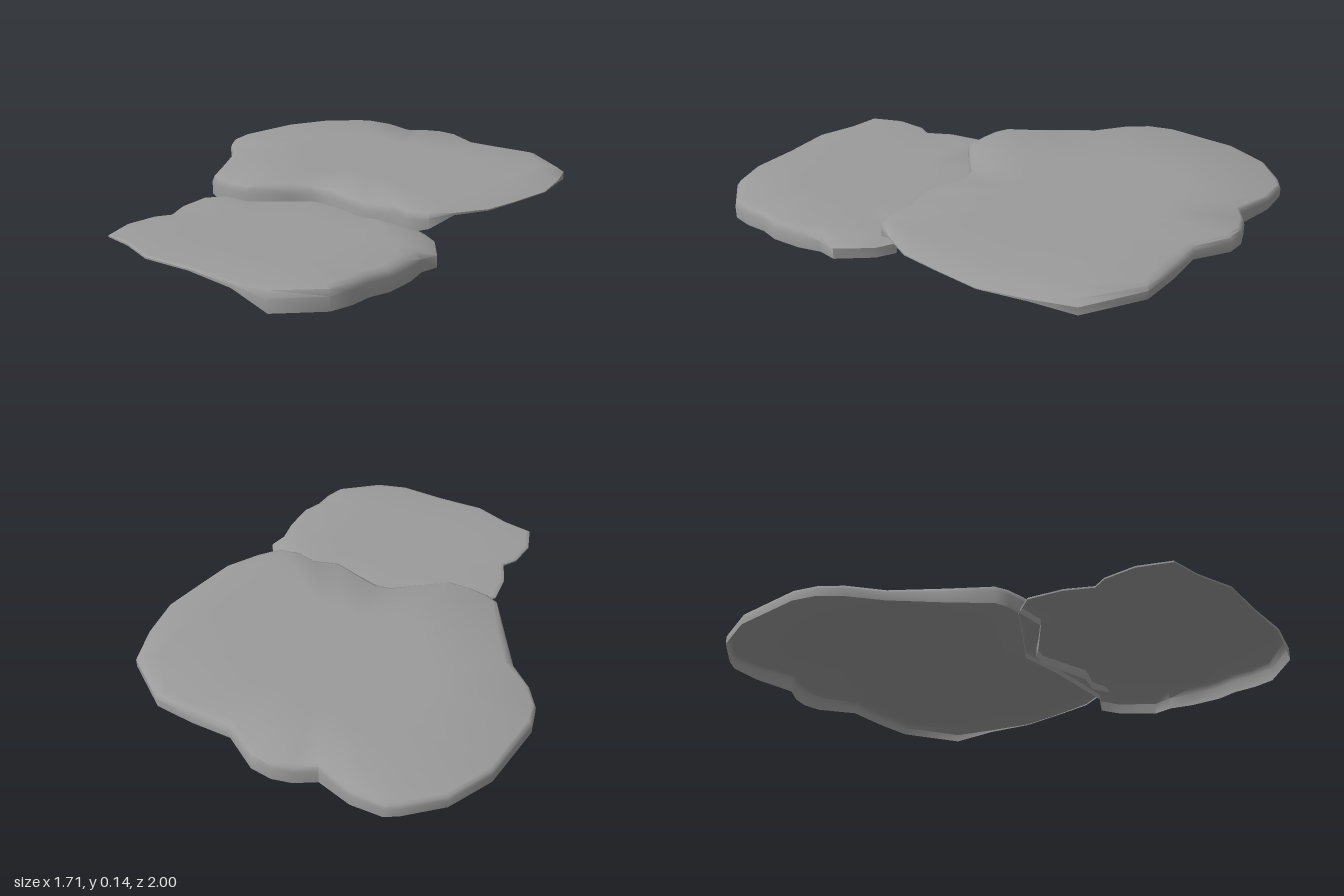
import * as THREE from 'three';
import { toCreasedNormals } from 'three/addons/utils/BufferGeometryUtils.js';

// Each outline point: x, z, height of the lower edge, width of the top bevel
const LARGE = [
  [0.05, -1, 0.09, 0.01], [-0.12, -0.94, 0.09, 0.01], [-0.33, -0.77, 0.09, 0.01],
  [-0.38, -0.69, 0.09, 0.01], [-0.4, -0.6, 0.088, 0.01], [-0.4, -0.46, 0.085, 0.02],
  [-0.45, -0.27, 0.07, 0.02], [-0.495, -0.1, 0.06, 0.015], [-0.48, -0.05, 0.055, 0.015],
  [-0.44, 0.01, 0.05, 0.015], [-0.38, 0.08, 0.05, 0.02], [-0.23, 0.105, 0.042, 0.02],
  [-0.15, 0.115, 0.042, 0.02], [-0.1, 0.15, 0.042, 0.02], [-0.05, 0.24, 0.04, 0.02],
  [0, 0.34, 0.036, 0.02], [0.09, 0.39, 0.04, 0.02], [0.13, 0.46, 0.05, 0.02],
  [0.2, 0.505, 0.075, 0.02], [0.29, 0.49, 0.115, 0.05], [0.42, 0.455, 0.115, 0.08],
  [0.54, 0.37, 0.115, 0.1], [0.68, 0.265, 0.115, 0.1], [0.78, 0.12, 0.11, 0.08],
  [0.85, -0.02, 0.082, 0.05], [0.815, -0.26, 0.085, 0.02], [0.72, -0.38, 0.085, 0.03],
  [0.615, -0.49, 0.085, 0.02], [0.58, -0.64, 0.075, 0.015], [0.53, -0.7, 0.07, 0.01],
  [0.47, -0.735, 0.067, 0.01], [0.39, -0.755, 0.066, 0.01], [0.33, -0.89, 0.08, 0.01],
  [0.25, -0.975, 0.085, 0.01], [0.2, -0.99, 0.088, 0.01],
];
const SMALL = [
  [-0.43, -0.01, 0.06, 0.01], [-0.53, 0, 0.065, 0.01], [-0.61, 0.1, 0.065, 0.01],
  [-0.65, 0.2, 0.065, 0.01], [-0.71, 0.215, 0.065, 0.01], [-0.8, 0.29, 0.065, 0.01],
  [-0.855, 0.4, 0.065, 0.01], [-0.79, 0.5, 0.065, 0.01], [-0.73, 0.64, 0.065, 0.01],
  [-0.6, 0.77, 0.065, 0.01], [-0.48, 0.91, 0.055, 0.01], [-0.38, 0.99, 0, 0.03],
  [-0.2, 1, 0, 0.02], [-0.13, 0.96, 0, 0.02], [-0.07, 0.905, 0, 0.02],
  [0, 0.87, 0, 0.02], [0.08, 0.79, 0, 0.03], [0.13, 0.715, 0, 0.05],
  [0.19, 0.675, 0, 0.08], [0.215, 0.53, 0, 0.1], [0.2, 0.455, 0, 0.09],
  [0.17, 0.44, 0.035, 0.06], [0.09, 0.35, 0.037, 0.03], [-0.02, 0.23, 0.04, 0.02],
  [-0.13, 0.08, 0.045, 0.02], [-0.27, 0.04, 0.05, 0.02],
];

// Thin open shell: rings run from the top centre, over the bevel, down the rim
function slab(name, outline, cx, cz, top) {
  const n = outline.length;
  const radius = (p) => Math.hypot(p[0] - cx, p[1] - cz);
  const lip = (p) => (top - p[2]) * 0.35 + p[3] * 0.1;
  const ring = (inset, y) => outline.map((p) => {
    const k = 1 - inset(p) / radius(p);
    return [cx + (p[0] - cx) * k, y(p), cz + (p[1] - cz) * k];
  });
  const rings = [
    ring(radius, () => top),
    ring((p) => radius(p) * 0.5, () => top),
    ring((p) => p[3] * 1.6, () => top),
    ring((p) => p[3] * 0.5, (p) => top - lip(p) * 0.3),
    ring(() => 0, (p) => top - lip(p)),
    ring(() => 0, (p) => p[2]),
  ];
  const index = [];
  for (let k = 0; k < rings.length - 1; k++) {
    for (let i = 0; i < n; i++) {
      const j = (i + 1) % n;
      const a = k * n + i, b = a + n, c = (k + 1) * n + j, d = k * n + j;
      index.push(a, b, c);
      if (k > 0) index.push(a, c, d);
    }
  }
  const geo = new THREE.BufferGeometry();
  geo.setAttribute('position', new THREE.Float32BufferAttribute(rings.flat(2), 3));
  geo.setIndex(index);
  const mesh = new THREE.Mesh(
    toCreasedNormals(geo, 0.8),
    new THREE.MeshStandardMaterial({ color: 0x9b9b9b, side: THREE.DoubleSide }),
  );
  mesh.name = name;
  return mesh;
}

export function createModel() {
  const group = new THREE.Group();
  group.name = 'steppingStones';
  // Broad upper stone overlapping the lower one
  group.add(slab('largeStone', LARGE, 0.18, -0.25, 0.135));
  group.add(slab('smallStone', SMALL, -0.32, 0.48, 0.075));
  return group;
}
